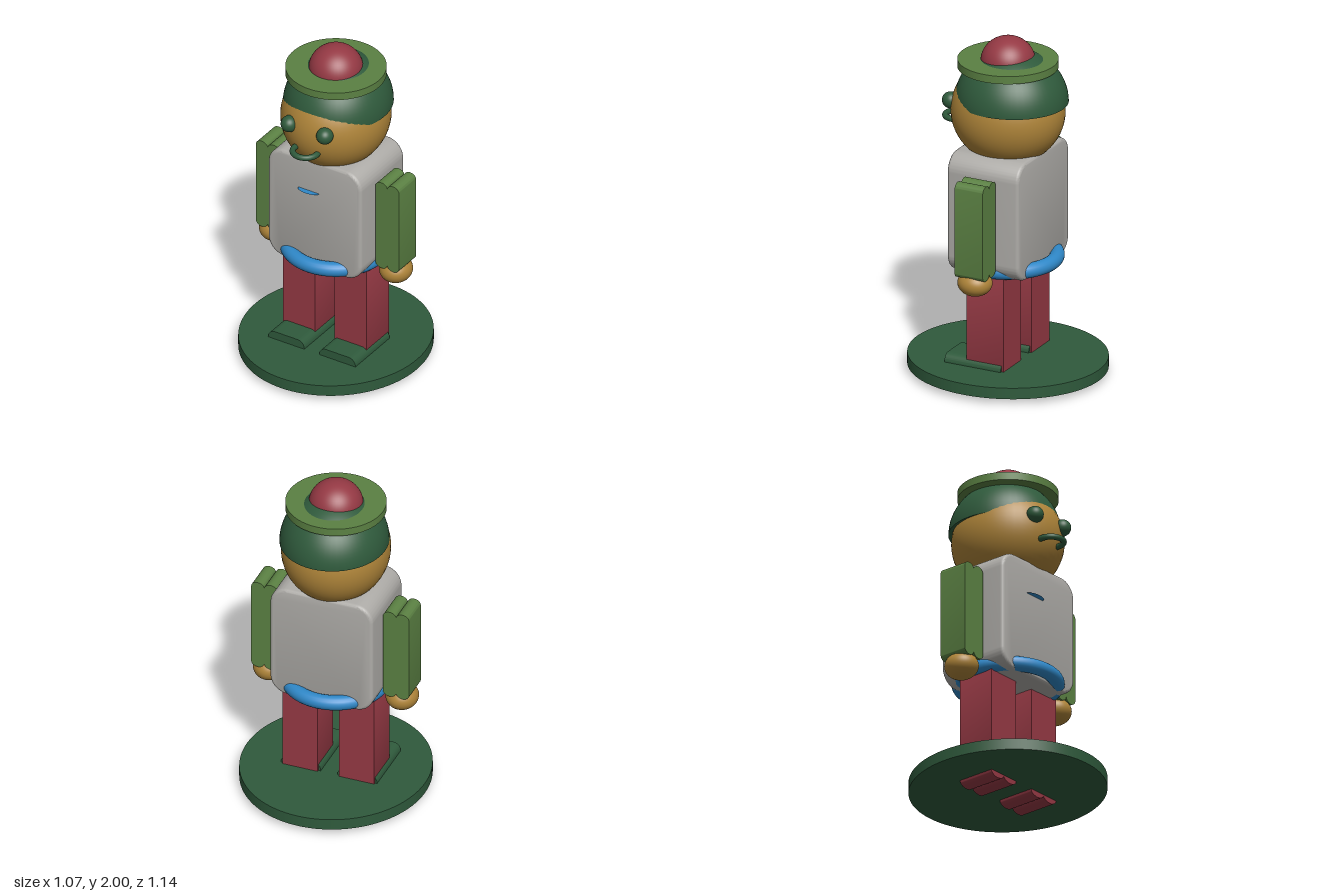
import * as THREE from 'three';
import { toCreasedNormals } from 'three/addons/utils/BufferGeometryUtils.js';

const material = (name, color, side = THREE.FrontSide) => {
  const m = new THREE.MeshStandardMaterial({ color, side });
  m.name = name;
  return m;
};

// Upright block whose ends are two rounded lobes side by side (half width w, half height h, lobe depth d)
function lobedShape(w, h, d) {
  const s = new THREE.Shape();
  s.moveTo(-w, -h + d);
  s.absellipse(-w / 2, -h + d, w / 2, d, Math.PI, Math.PI * 2, false);
  s.absellipse(w / 2, -h + d, w / 2, d, Math.PI, Math.PI * 2, false);
  s.lineTo(w, h - d);
  s.absellipse(w / 2, h - d, w / 2, d, 0, Math.PI, false);
  s.absellipse(-w / 2, h - d, w / 2, d, 0, Math.PI, false);
  s.closePath();
  return s;
}

function roundedShape(w, h, r) {
  const s = new THREE.Shape();
  s.absarc(w - r, h - r, r, 0, Math.PI / 2, false);
  s.absarc(-w + r, h - r, r, Math.PI / 2, Math.PI, false);
  s.absarc(-w + r, -h + r, r, Math.PI, Math.PI * 1.5, false);
  s.absarc(w - r, -h + r, r, Math.PI * 1.5, Math.PI * 2, false);
  s.closePath();
  return s;
}

// Extrude a shape along z, centred, with an optional rounded bevel
function extrude(shape, depth, bevel = 0) {
  const g = new THREE.ExtrudeGeometry(shape, {
    depth: depth - 2 * bevel, curveSegments: 12,
    bevelEnabled: bevel > 0, bevelSize: bevel, bevelThickness: bevel, bevelOffset: -bevel, bevelSegments: 4,
  });
  g.translate(0, 0, -depth / 2 + bevel);
  return toCreasedNormals(g, 0.7);
}

export function createModel() {
  const darkGreen = material('dark green', 0x2f5a3c);
  const lightGreen = material('light green', 0x5b8143);
  const red = material('red', 0x953944);
  const skin = material('tan', 0xae8439);
  const grey = material('grey', 0xaeaca8);
  const blue = material('blue', 0x2f88c8);
  const blueThin = blue;
  blueThin.side = THREE.DoubleSide;

  const group = new THREE.Group();
  const add = (name, geometry, mat, x, y, z) => {
    const m = new THREE.Mesh(geometry, mat);
    m.name = name;
    m.position.set(x, y, z);
    group.add(m);
    return m;
  };
  const ball = (rx, ry, rz) => new THREE.SphereGeometry(1, 48, 32).scale(rx, ry, rz);

  // Oval stand
  add('base', new THREE.CylinderGeometry(1, 1, 0.066, 96).scale(0.537, 1, 0.572), darkGreen, 0, 0.066, 0);

  // Torso with belt and a small pocket flap
  add('torso', extrude(roundedShape(0.31, 0.353, 0.105), 0.452, 0.02), grey, 0, 1.002, 0);
  add('belt', new THREE.TorusGeometry(0.275, 0.043, 20, 72).rotateX(Math.PI / 2), blue, 0, 0.692, 0);
  add('pocketFlap', new THREE.CircleGeometry(1, 32).rotateX(-Math.PI / 2).scale(0.07, 1, 0.035),
    blueThin, -0.035, 1.15, 0.226);

  // Limbs, mirrored
  const armGeo = extrude(lobedShape(0.078, 0.284, 0.032), 0.178);
  const legGeo = extrude(lobedShape(0.106, 0.34, 0.03), 0.232);
  const shoeGeo = extrude(roundedShape(0.12, 0.05, 0.045), 0.355);
  for (const [side, s] of [['left', 1], ['right', -1]]) {
    add(side + 'Arm', armGeo, lightGreen, s * 0.398, 0.98, 0);
    add(side + 'Hand', ball(0.093, 0.076, 0.1), skin, s * 0.4, 0.66, 0);
    add(side + 'Leg', legGeo, red, s * 0.171, 0.34, 0);
    add(side + 'Shoe', shoeGeo, darkGreen, s * 0.17, 0.098, 0.073);
    add(side + 'Eye', ball(0.048, 0.048, 0.05), darkGreen, s * 0.118, 1.607, 0.3);
  }

  // Head and face
  add('head', ball(0.306, 0.305, 0.327), skin, 0, 1.56, 0);
  add('mouth', new THREE.TorusGeometry(0.073, 0.017, 16, 48).rotateX(Math.PI / 2), darkGreen, 0, 1.474, 0.315);

  // Hair cap, closed underneath where it overhangs the back of the head
  const cap = new THREE.SphereGeometry(1, 56, 20, 0, Math.PI * 2, 0, Math.PI / 2).scale(0.306, 0.295, 0.323);
  add('hair', cap, darkGreen, 0, 1.625, -0.024);
  add('hairUnderside', new THREE.CircleGeometry(1, 56).rotateX(Math.PI / 2).scale(0.306, 1, 0.323),
    darkGreen, 0, 1.625, -0.024);

  // Hat brim and pompom
  add('hatBrim', new THREE.CylinderGeometry(0.284, 0.284, 0.046, 72), lightGreen, 0, 1.848, 0);
  add('pompom', ball(0.154, 0.143, 0.154), red, 0, 1.857, 0);

  return group;
}
